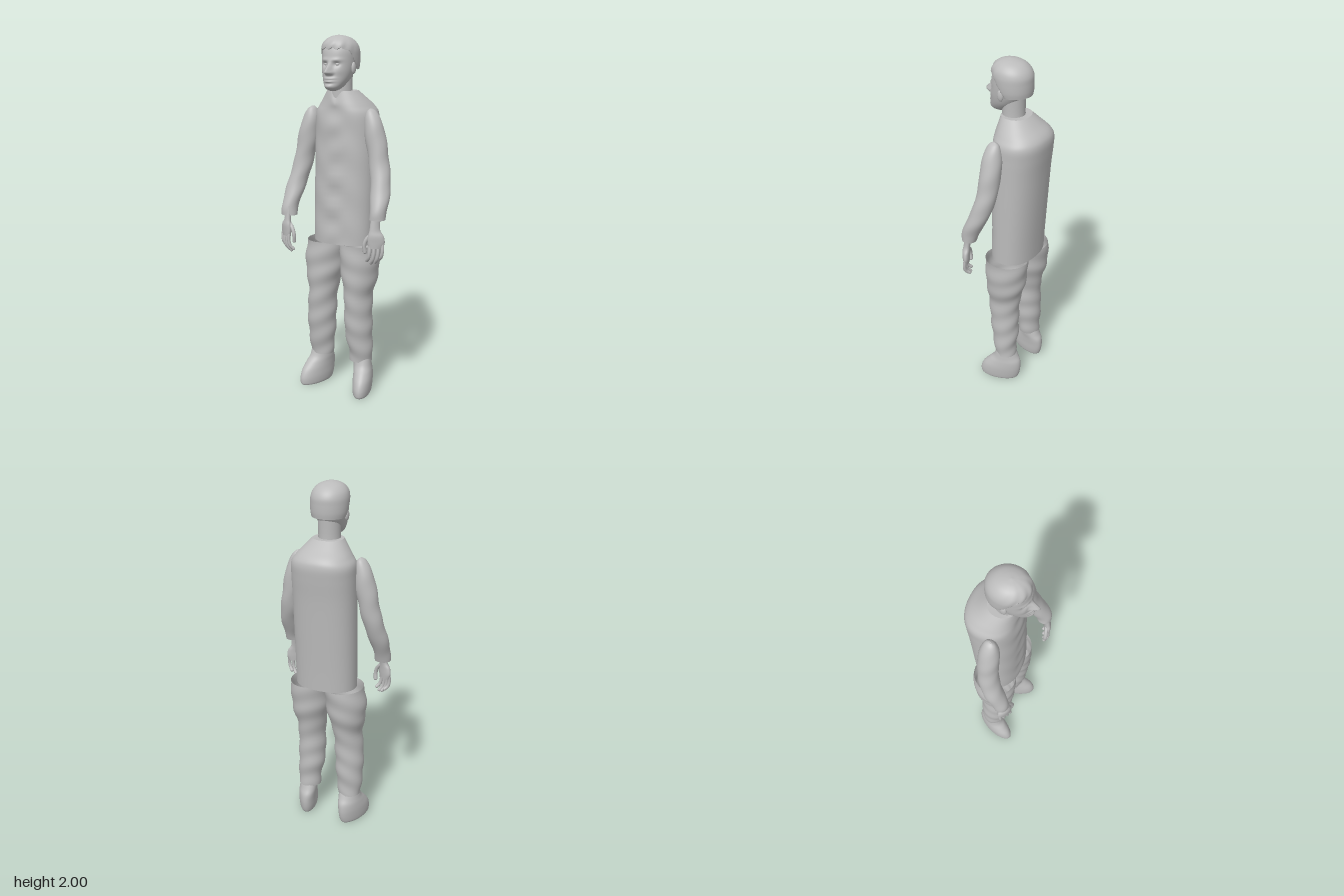
import * as THREE from 'three';

const grey = new THREE.MeshStandardMaterial({ color: 0xbcbcbc, side: THREE.DoubleSide });
grey.name = 'plain grey';

const bump = (d, w) => Math.exp(-(d * d) / (w * w));

// Smooth skin through rows of [y, centreX, centreZ, radiusX, radiusZ], listed from the bottom up.
function loft(name, rows, { sides = 40, steps = 6, power = 2, warp = null, bottom = true, top = true } = {}) {
  const spline = (c, t) => {
    const i = Math.min(Math.floor(t), rows.length - 2), f = t - i;
    const p = (k) => rows[Math.max(0, Math.min(rows.length - 1, k))][c];
    const a = p(i - 1), b = p(i), d = p(i + 1), e = p(i + 2);
    const v = b + 0.5 * f * (d - a + f * (2 * a - 5 * b + 4 * d - e + f * (3 * (b - d) + e - a)));
    return c > 2 ? Math.max(v, 0.001) : v;
  };
  const pos = [], index = [], n = (rows.length - 1) * steps;
  const round = (v) => Math.sign(v) * Math.abs(v) ** (2 / power);
  for (let i = 0; i <= n; i++) {
    const [y, cx, cz, rx, rz] = [0, 1, 2, 3, 4].map((c) => spline(c, i / steps));
    for (let j = 0; j < sides; j++) {
      const a = (j / sides) * Math.PI * 2;
      const p = new THREE.Vector3(cx + rx * round(Math.cos(a)), y, cz + rz * round(Math.sin(a)));
      if (warp) warp(p, a);
      pos.push(p.x, p.y, p.z);
      if (i < n) {
        const k = i * sides, m = (j + 1) % sides;
        index.push(k + j, k + sides + j, k + m, k + m, k + sides + j, k + sides + m);
      }
    }
  }
  // flat end caps on their own vertices
  const cap = (row, up) => {
    const start = pos.length / 3, c = [0, 0, 0];
    for (let j = 0; j < sides; j++) for (let k = 0; k < 3; k++) {
      const v = pos[(row * sides + j) * 3 + k];
      c[k] += v / sides;
      pos.push(v);
    }
    pos.push(...c);
    for (let j = 0; j < sides; j++) {
      const a = start + j, b = start + (j + 1) % sides;
      index.push(start + sides, up ? b : a, up ? a : b);
    }
  };
  if (bottom) cap(0, false);
  if (top) cap(n, true);
  const g = new THREE.BufferGeometry();
  g.setAttribute('position', new THREE.Float32BufferAttribute(pos, 3));
  g.setIndex(index);
  g.computeVertexNormals();
  const mesh = new THREE.Mesh(g, grey);
  mesh.name = name;
  return mesh;
}

function ball(name, x, y, z, rx, ry, rz) {
  const m = new THREE.Mesh(new THREE.SphereGeometry(1, 16, 12), grey);
  m.name = name;
  m.position.set(x, y, z);
  m.scale.set(rx, ry, rz);
  return m;
}

function makeTorso() {
  return loft('torso', [
    [0.875, 0.003, -0.008, 0.175, 0.123], [1.0, 0.003, -0.013, 0.176, 0.125],
    [1.2, 0.003, -0.022, 0.177, 0.13], [1.4, 0.003, -0.032, 0.177, 0.135],
    [1.52, 0.003, -0.04, 0.177, 0.14], [1.59, 0.003, -0.044, 0.174, 0.14],
    [1.63, 0.003, -0.038, 0.15, 0.13], [1.67, 0.002, -0.018, 0.118, 0.103],
    [1.71, 0, 0.003, 0.084, 0.076],
  ], {
    sides: 56, power: 2.25, warp: (p, a) => {
      const front = bump(a - Math.PI / 2, 0.22);
      p.z += 0.005 * front * Math.sin(p.y * 42);                                // placket
      p.z += 0.0025 * Math.sin(p.y * 31 + p.x * 25) * Math.max(0, Math.sin(a)); // soft folds
      p.y -= 0.04 * front * THREE.MathUtils.smoothstep(p.y, 1.6, 1.71);         // neck notch
    },
  });
}

function makeLeg(s) {
  const side = s > 0 ? 'left' : 'right', g = new THREE.Group();
  g.name = side + 'Leg';
  // inner and outer edges of the trouser leg at each height, then back and front
  const edges = s > 0
    ? [[0.055, 0.185], [0.052, 0.187], [0.032, 0.187], [0.03, 0.187], [0.03, 0.188], [0.01, 0.212], [0, 0.218], [0.002, 0.22]]
    : [[0.075, 0.205], [0.066, 0.212], [0.054, 0.216], [0.048, 0.215], [0.04, 0.203], [0.012, 0.222], [0, 0.228], [-0.008, 0.212]];
  const heights = [0.18, 0.24, 0.35, 0.45, 0.58, 0.69, 0.77, 0.875];
  const depth = [[-0.06, 0.06], [-0.062, 0.07], [-0.07, 0.09], [-0.07, 0.1], [-0.08, 0.11], [-0.108, 0.118], [-0.12, 0.12], [-0.128, 0.12]];
  g.add(loft('trouserLeg', heights.map((y, i) => {
    const [a, b] = edges[i], [c, d] = depth[i];
    return [y, s * (a + b) / 2, (c + d) / 2, (b - a) / 2, (d - c) / 2];
  }), {
    top: false, warp: (p, a) => {
      const fold = 0.003 * Math.sin(p.y * 48 + 2 * Math.sin(a + s));
      p.x += fold * Math.cos(a);
      p.z += fold * Math.sin(a);
    },
  }));

  // boot with the toe turned out
  const x = s > 0 ? 0.137 : 0.155;
  g.add(loft('boot', [
    [0, x, 0.032, 0.048, 0.105], [0.012, x, 0.031, 0.053, 0.112], [0.045, x, 0.026, 0.057, 0.116],
    [0.085, x, 0.016, 0.058, 0.11], [0.125, x - 0.003, 0.002, 0.057, 0.092],
    [0.16, x - 0.008, -0.004, 0.056, 0.068], [0.21, x - 0.012, -0.002, 0.054, 0.05],
  ].map((r) => [r[0], s * r[1], ...r.slice(2)]), { warp: (p) => { p.x += s * 0.26 * p.z; } }));
  return g;
}

function makeArm(s) {
  const side = s > 0 ? 'left' : 'right', g = new THREE.Group();
  g.name = side + 'Arm';
  const stretch = s > 0 ? 1 : 1.06;
  g.add(loft('sleeve', [
    [1.05, 0.28, 0.122, 0.043, 0.042], [1.1, 0.28, 0.11, 0.046, 0.049], [1.2, 0.268, 0.066, 0.054, 0.054],
    [1.3, 0.246, 0.035, 0.055, 0.055], [1.4, 0.225, 0.023, 0.056, 0.055], [1.5, 0.205, 0.02, 0.056, 0.055],
    [1.565, 0.192, 0.019, 0.042, 0.045], [1.605, 0.185, 0.018, 0.024, 0.03], [1.62, 0.182, 0.018, 0.006, 0.01],
  ].map(([y, x, ...r]) => [1.62 - (1.62 - y) * stretch, s * x, ...r]),
  { sides: 32, warp: (p, a) => { p.x += 0.002 * Math.sin(p.y * 45 + a); } }));

  // hand turned so its back faces forward and out
  const hand = new THREE.Group();
  hand.name = side + 'Hand';
  hand.add(loft('palm', [
    [0.9, 0.284, 0.145, 0.034, 0.02], [0.93, 0.286, 0.145, 0.041, 0.022], [0.965, 0.284, 0.145, 0.037, 0.023],
    [1.0, 0.277, 0.14, 0.024, 0.021], [1.07, 0.276, 0.128, 0.022, 0.022],
  ].map((r) => [r[0], s * r[1], ...r.slice(2)]),
  { sides: 20, warp: (p) => { p.z -= 0.45 * (s * p.x - 0.284); } }));
  const digit = (name, points, r) => {
    const v = points.map(([x, y, z]) => new THREE.Vector3(s * x, y, z));
    const tube = new THREE.Mesh(new THREE.TubeGeometry(new THREE.CatmullRomCurve3(v), 10, r, 10), grey);
    tube.name = name;
    const end = v[v.length - 1];
    hand.add(tube, ball(name + 'Tip', end.x, end.y, end.z, r, r, r));
  };
  for (let i = 0; i < 4; i++) {
    const x = 0.316 - i * 0.02, z = 0.13 + i * 0.01, length = [0.078, 0.096, 0.1, 0.088][i];
    digit('finger', [[x, 0.925, z], [x + 0.002, 0.91 - length * 0.4, z + 0.005],
      [x - 0.006, 0.91 - length * 0.75, z + 0.002], [x - 0.02, 0.915 - length, z - 0.008]], 0.0095);
  }
  digit('thumb', [[0.262, 0.975, 0.148], [0.236, 0.945, 0.158], [0.224, 0.91, 0.162], [0.226, 0.875, 0.158]], 0.011);
  g.add(hand);
  return g;
}

function makeHead() {
  const g = new THREE.Group();
  g.name = 'head';
  g.add(loft('neck', [[1.64, 0, 0.018, 0.066, 0.064], [1.72, 0, 0.02, 0.06, 0.06], [1.85, 0, 0.018, 0.063, 0.062]]));

  // face: chin, lips, nose, brow and eye sockets pushed out of a rounded skull
  g.add(loft('face', [
    [1.712, 0, 0.105, 0.012, 0.02], [1.722, 0, 0.1, 0.034, 0.045], [1.742, 0, 0.088, 0.052, 0.062],
    [1.775, 0, 0.066, 0.07, 0.08], [1.82, 0, 0.046, 0.083, 0.096], [1.87, 0, 0.034, 0.089, 0.104],
    [1.92, 0, 0.03, 0.089, 0.1], [1.96, 0, 0.03, 0.072, 0.08], [1.985, 0, 0.03, 0.035, 0.04],
  ], {
    sides: 80, steps: 9, power: 2.1, warp: (p, a) => {
      if (Math.sin(a) <= 0.2) return;
      const { x, y } = p, ax = Math.abs(x);
      const ridge = y > 1.808 ? bump(y - 1.808, 0.038) : bump(y - 1.808, 0.011);
      p.z += 0.048 * ridge * bump(x, 0.012 + 0.005 * bump(y - 1.806, 0.015));
      p.z += 0.008 * bump(ax - 0.014, 0.007) * bump(y - 1.803, 0.009);
      p.z += 0.014 * bump(x, 0.028) * (bump(y - 1.777, 0.007) + bump(y - 1.762, 0.007));
      p.z += 0.012 * bump(x, 0.03) * bump(y - 1.736, 0.014);
      p.z += 0.006 * bump(ax - 0.035, 0.028) * bump(y - 1.872, 0.009);
      p.z -= 0.012 * bump(ax - 0.034, 0.018) * bump(y - 1.85, 0.012);
      p.z += 0.004 * bump(ax - 0.05, 0.02) * bump(y - 1.815, 0.02);
    },
  }));

  // hair: low at the nape, above the ears at the side, swept off the forehead
  g.add(loft('hair', [
    [1.822, 0, 0.014, 0.092, 0.094], [1.85, 0, 0.016, 0.098, 0.1], [1.89, 0, 0.022, 0.101, 0.107],
    [1.925, 0, 0.027, 0.1, 0.11], [1.955, 0, 0.032, 0.09, 0.1], [1.98, 0, 0.036, 0.067, 0.075],
    [1.994, 0, 0.04, 0.037, 0.04], [2, 0, 0.042, 0.004, 0.004],
  ], {
    sides: 64, steps: 8, warp: (p, a) => {
      const front = Math.sin(a);
      const line = front < -0.1 ? 1.822 : 1.822 + 0.108 * THREE.MathUtils.smoothstep(front, -0.1, 0.75);
      p.y = Math.max(p.y, line + (front > 0.3 ? 0.005 * Math.sin(a * 14) : 0));
      const lock = 0.0025 * Math.sin(a * 11 + p.y * 60) * Math.max(0, front) * bump(p.y - 1.94, 0.04);
      p.x += lock * Math.cos(a);
      p.z += lock * front;
    },
  }));
  for (const s of [1, -1]) {
    g.add(ball('ear', s * 0.088, 1.83, 0.042, 0.011, 0.031, 0.018));
    g.add(ball('eye', s * 0.033, 1.85, 0.116, 0.014, 0.009, 0.012));
  }
  return g;
}

export function createModel() {
  const model = new THREE.Group();
  model.name = 'standingMan';
  model.add(makeTorso(), makeHead());
  for (const s of [1, -1]) model.add(makeLeg(s), makeArm(s));
  return model;
}
